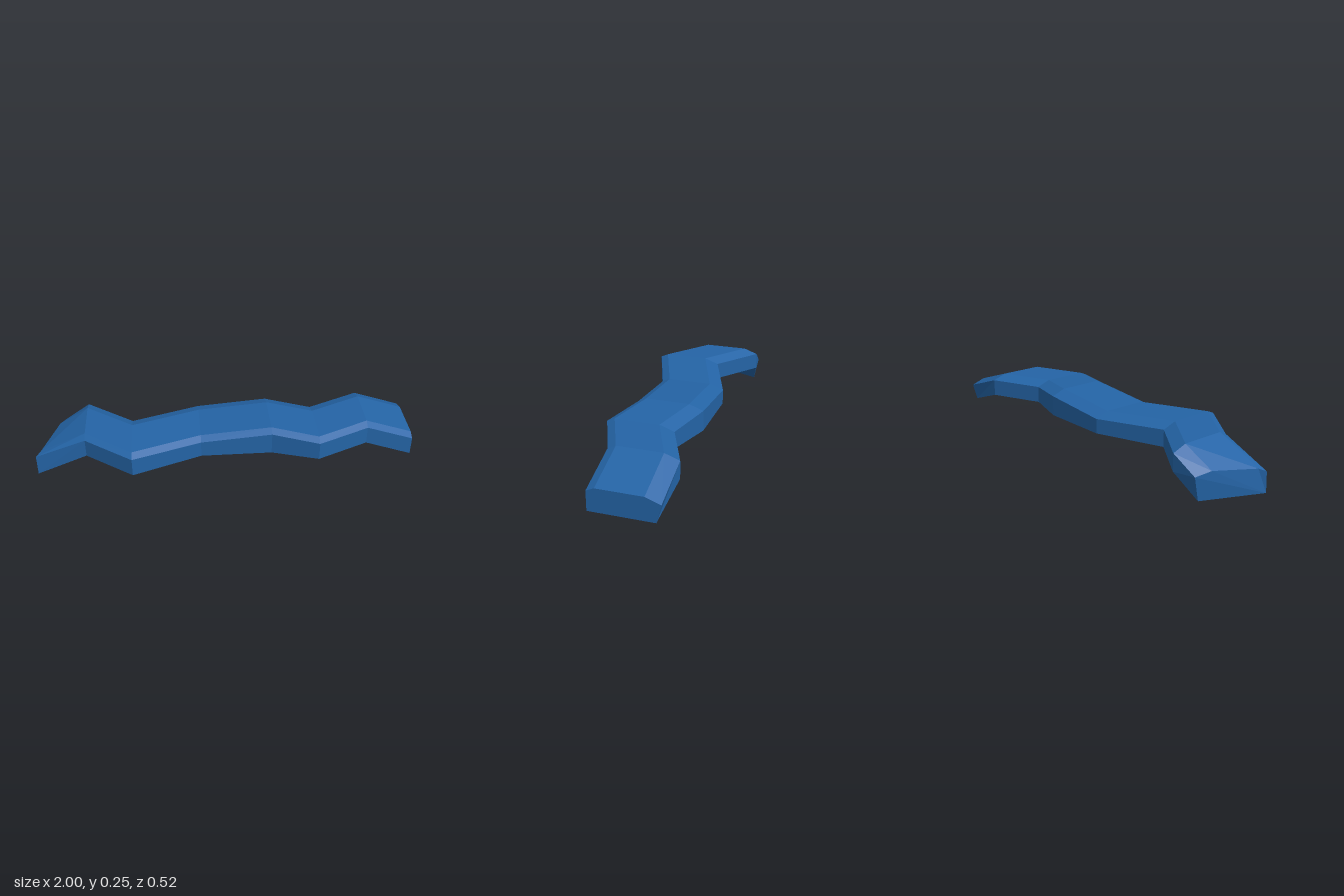
import * as THREE from 'three';

// Cross-section: bottom front, front shoulder, top front, top back, back shoulder, bottom back
function section(x, front, back, bottom, top) {
  return [
    [x, bottom, front],
    [x, top - 0.018, front],
    [x, top, front - 0.04],
    [x, top, back + 0.075],
    [x, top - 0.027, back],
    [x, bottom, back],
  ];
}

function loft(rings) {
  const pos = [];
  const tri = (a, b, c) => pos.push(...a, ...b, ...c);
  const n = rings[0].length;
  for (let i = 0; i < rings.length - 1; i++) {
    for (let j = 0; j < n; j++) {
      const k = (j + 1) % n;
      const a = rings[i][j], b = rings[i][k], c = rings[i + 1][k], d = rings[i + 1][j];
      tri(a, d, c);
      tri(a, c, b);
    }
  }
  // end caps
  const first = rings[0], last = rings[rings.length - 1];
  for (let j = 1; j < n - 1; j++) {
    tri(first[0], first[j], first[j + 1]);
    tri(last[0], last[j + 1], last[j]);
  }
  const geo = new THREE.BufferGeometry();
  geo.setAttribute('position', new THREE.Float32BufferAttribute(pos, 3));
  geo.computeVertexNormals();
  return geo;
}

export function createModel() {
  const group = new THREE.Group();
  const blue = new THREE.MeshStandardMaterial({ color: 0x2464a6 });
  blue.name = 'blue';
  blue.flatShading = true;

  // slanted, drooping left-hand end
  const slantedEnd = [
    [-1, 0, 0.075],
    [-1, 0.108, 0.07],
    [-0.975, 0.122, 0.04],
    [-0.89, 0.142, -0.175],
    [-0.86, 0.122, -0.25],
    [-0.86, 0, -0.225],
  ];
  // square drooping end, its back wall leaning in
  const squareEnd = section(1, 0.083, -0.262, 0.025, 0.143);
  squareEnd[5][2] = -0.238;

  const strip = new THREE.Mesh(loft([
    slantedEnd,
    section(-0.735, 0.083, -0.262, 0.112, 0.228),
    section(-0.49, 0.262, -0.085, 0.112, 0.228),
    section(-0.135, 0.13, -0.215, 0.112, 0.217),
    section(0.235, 0.13, -0.215, 0.112, 0.247),
    section(0.475, 0.203, -0.143, 0.112, 0.228),
    section(0.75, 0.083, -0.262, 0.112, 0.228),
    squareEnd,
  ]), blue);
  strip.name = 'windingStrip';
  group.add(strip);
  return group;
}
